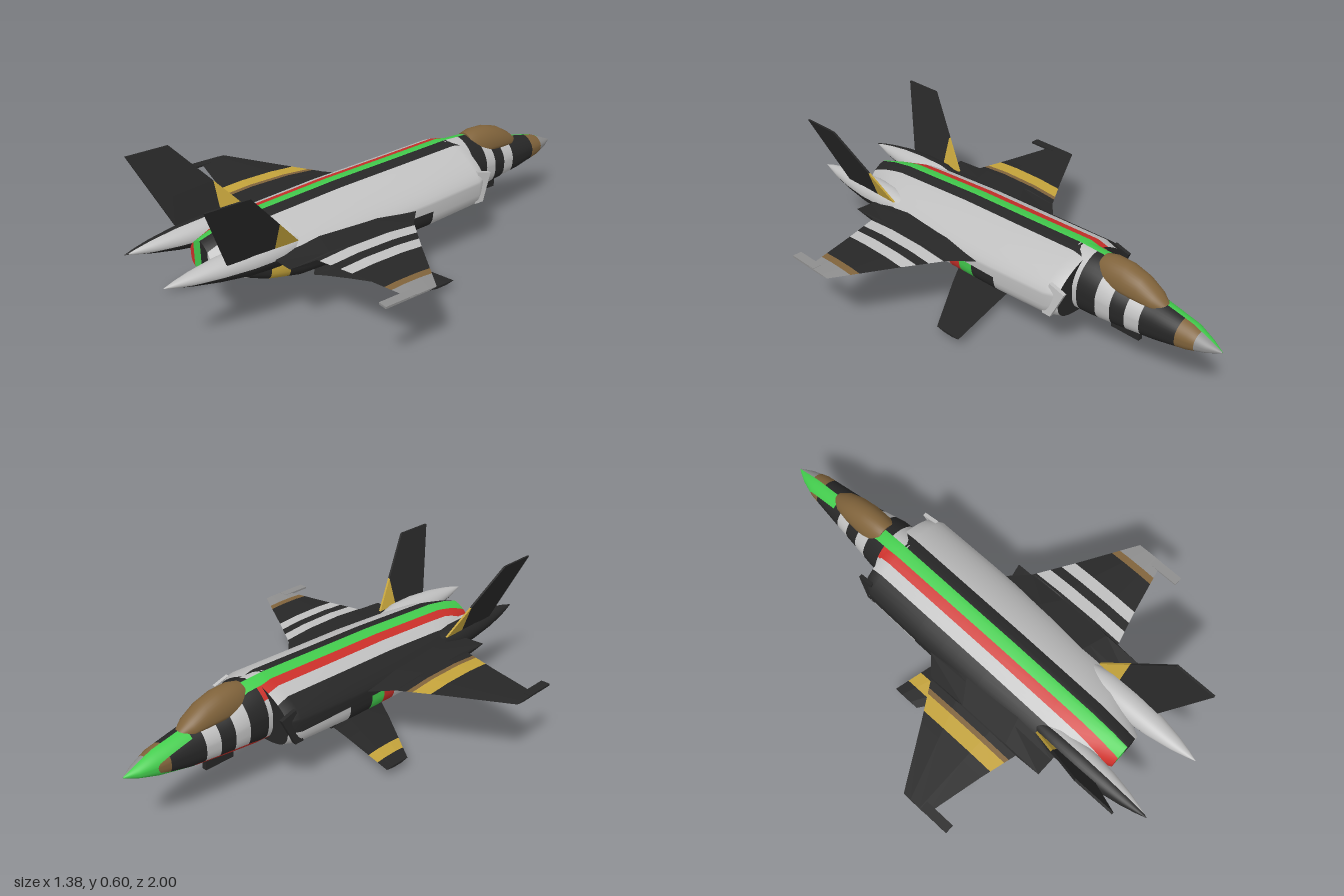
import * as THREE from 'three';
import { ConvexGeometry } from 'three/addons/geometries/ConvexGeometry.js';

const mat = (name, color) => Object.assign(new THREE.MeshStandardMaterial({ color }), { name });
const M = {
  dark: mat('charcoal', 0x272727), light: mat('light grey', 0xc0c0c0), grey: mat('mid grey', 0x8e8e8e),
  red: mat('red', 0xcb302a), green: mat('green', 0x43cc4d), yellow: mat('yellow', 0xc4a33b), brown: mat('bronze', 0x80633b),
};

// Skin over a list of closed rings, capped at both ends
function loft(rings, flat) {
  const pos = [], idx = [], n = rings[0].length, m = rings.length;
  rings.forEach(r => r.forEach(p => pos.push(...p)));
  for (let i = 0; i < m - 1; i++) for (let j = 0; j < n; j++) {
    const a = i * n + j, b = i * n + (j + 1) % n;
    idx.push(a, b, a + n, b, b + n, a + n);
  }
  for (const [ring, end] of [[rings[0], 0], [rings[m - 1], 1]]) {
    const base = pos.length / 3;
    ring.forEach(p => pos.push(...p));
    pos.push(...[0, 1, 2].map(k => ring.reduce((s, p) => s + p[k], 0) / n));
    for (let j = 0; j < n; j++) {
      const a = base + j, b = base + (j + 1) % n;
      idx.push(base + n, end ? a : b, end ? b : a);
    }
  }
  let g = new THREE.BufferGeometry();
  g.setAttribute('position', new THREE.Float32BufferAttribute(pos, 3));
  g.setIndex(idx);
  if (flat) g = g.toNonIndexed();
  g.computeVertexNormals();
  return g;
}

// Cut a geometry along axis planes and give each piece the colour chosen by its centre
function paint(name, geo, cuts, pick) {
  const g = geo.index ? geo.toNonIndexed() : geo, P = g.attributes.position, N = g.attributes.normal;
  let polys = [];
  for (let i = 0; i < P.count; i += 3) {
    polys.push([i, i + 1, i + 2].map(k => [P.getX(k), P.getY(k), P.getZ(k), N.getX(k), N.getY(k), N.getZ(k)]));
  }
  cuts.forEach((list, axis) => list.forEach(c => {
    const next = [];
    for (const poly of polys) {
      const lo = [], hi = [];
      poly.forEach((a, i) => {
        const b = poly[(i + 1) % poly.length], da = a[axis] - c, db = b[axis] - c;
        if (da <= 0) lo.push(a);
        if (da >= 0) hi.push(a);
        if (da * db < 0) {
          const mid = a.map((v, k) => v + (b[k] - v) * da / (da - db));
          lo.push(mid); hi.push(mid);
        }
      });
      if (lo.length > 2) next.push(lo);
      if (hi.length > 2) next.push(hi);
    }
    polys = next;
  }));
  const buckets = new Map();
  for (const poly of polys) {
    const key = pick(...[0, 1, 2].map(k => poly.reduce((s, v) => s + v[k], 0) / poly.length));
    if (!buckets.has(key)) buckets.set(key, []);
    for (let i = 1; i < poly.length - 1; i++) buckets.get(key).push(poly[0], poly[i], poly[i + 1]);
  }
  const out = new THREE.BufferGeometry(), verts = [...buckets.values()].flat();
  out.setAttribute('position', new THREE.Float32BufferAttribute(verts.flatMap(v => v.slice(0, 3)), 3));
  out.setAttribute('normal', new THREE.Float32BufferAttribute(verts.flatMap(v => v.slice(3)), 3));
  let start = 0, k = 0;
  for (const list of buckets.values()) { out.addGroup(start, list.length, k++); start += list.length; }
  const mesh = new THREE.Mesh(out, [...buckets.keys()].map(c => M[c]));
  mesh.name = name;
  return mesh;
}

// Hull rings from [z, halfWidth, bottom, top], with separate roundness above and below
function hull(stations, topPow, botPow, level = 0.5, x0 = 0) {
  const sgnPow = (v, p) => Math.sign(v) * Math.abs(v) ** p;
  return loft(stations.map(([z, w, yb, yt]) => {
    const mid = yb + (yt - yb) * level;
    return Array.from({ length: 40 }, (_, j) => {
      const a = j / 40 * Math.PI * 2, s = Math.sin(a), e = 2 / (s >= 0 ? topPow : botPow);
      return [x0 + w * sgnPow(Math.cos(a), e), mid + (s >= 0 ? yt - mid : mid - yb) * sgnPow(s, e), z];
    });
  }));
}

// Wing skin from [x, leading z, trailing z, bottom, top]
function wing(stations, side) {
  const rings = stations.map(([x, f, b, yb, yt]) => {
    const z = t => f + (b - f) * t, m = yb + (yt - yb) * 0.7;
    return [[1, m], [0.7, yb], [0.3, yb], [0, m], [0.3, yt], [0.7, yt]].map(([t, y]) => [side * x, y, z(t)]);
  });
  return loft(side < 0 ? rings.reverse() : rings, true);
}

// Thin slab following four [x, y, z] corners
function slab(corners, thick) {
  return new ConvexGeometry(corners.flatMap(([x, y, z]) => [-1, 1].map(s => new THREE.Vector3(x + s * thick / 2, y, z))));
}

// First band whose limit lies above the value
const band = (v, list, last) => (list.find(([limit]) => v < limit) || [0, last])[1];
const limits = list => list.map(b => b[0]);

const lengthStripes = [[-0.14, 'dark'], [-0.09, 'light'], [-0.05, 'red'], [0, 'green'], [0.05, 'dark']];
const sideBands = [[-0.12, 'light'], [0, 'dark'], [0.07, 'green'], [0.13, 'red'], [0.2, 'light'], [0.53, 'dark'], [0.6, 'yellow']];
const noseBands = [[-0.91, 'grey'], [-0.84, 'brown'], [-0.7, 'dark'], [-0.64, 'light'], [-0.58, 'dark'], [-0.52, 'light'], [-0.44, 'dark']];
const wingBands = [[0.31, 'dark'], [0.36, 'light'], [0.4, 'dark'], [0.45, 'light'], [0.585, 'dark'], [0.615, 'brown']];

export function createModel() {
  const model = new THREE.Group();
  model.name = 'aircraft';

  // Fuselage, with the dark intake face at its front
  model.add(paint('fuselage', hull([
    [-0.42, 0.19, 0.19, 0.42], [-0.37, 0.215, 0.185, 0.43], [-0.1, 0.22, 0.17, 0.42], [0.2, 0.22, 0.165, 0.41],
    [0.48, 0.21, 0.165, 0.392], [0.6, 0.18, 0.18, 0.385], [0.7, 0.115, 0.2, 0.368], [0.78, 0.075, 0.22, 0.345],
  ], 1.5, 4, 0.5), [[...limits(lengthStripes), -0.12, 0.12], [0.265], limits(sideBands)], (x, y, z) => {
    if (z < -0.419) return 'dark';
    if (Math.abs(x) > 0.12 && y < 0.265) return band(z, sideBands, 'dark');
    return band(x, lengthStripes, 'light');
  }));

  // Intake lips
  for (const s of [-1, 1]) {
    const lip = new THREE.Mesh(slab([[s * 0.185, 0.35, -0.38], [s * 0.185, 0.33, -0.45], [s * 0.2, 0.22, -0.4], [s * 0.2, 0.22, -0.36]], 0.015), s < 0 ? M.dark : M.light);
    lip.name = 'intakeLip';
    model.add(lip);
  }

  // Nose
  model.add(paint('nose', hull([
    [-1, 0.003, 0.268, 0.272], [-0.95, 0.03, 0.25, 0.295], [-0.88, 0.053, 0.232, 0.325], [-0.75, 0.07, 0.208, 0.352],
    [-0.6, 0.09, 0.195, 0.375], [-0.48, 0.11, 0.188, 0.425], [-0.36, 0.115, 0.186, 0.43],
  ], 1.8, 2.8), [[-0.09, -0.05, 0, 0.05], [0.225], [...limits(noseBands), -0.74]], (x, y, z) => {
    if (x > -0.05 && x < 0 && (z < -0.74 || z > -0.52 || y < 0.225)) return 'green';
    if (x > -0.09 && x < -0.05 && (z > -0.44 || (y < 0.225 && z > -0.74))) return 'red';
    return band(z, noseBands, 'light');
  }));

  // Canopy
  const canopy = new THREE.Mesh(hull([
    [-0.765, 0.02, 0.325, 0.348], [-0.72, 0.046, 0.32, 0.385], [-0.66, 0.058, 0.32, 0.42], [-0.59, 0.064, 0.32, 0.44],
    [-0.52, 0.063, 0.32, 0.443], [-0.48, 0.056, 0.32, 0.433],
  ], 2, 2, 0.35), M.brown);
  canopy.name = 'canopy';
  model.add(canopy);

  // Belly blade under the nose
  const blade = new THREE.Mesh(new THREE.BoxGeometry(0.02, 0.07, 0.13), M.dark);
  blade.name = 'bellyBlade';
  blade.position.set(0, 0.175, -0.595);
  model.add(blade);

  for (const s of [-1, 1]) {
    // Main wing with tip rail
    const wingColour = x => s < 0
      ? band(-x, [[0.33, 'dark'], [0.35, 'brown'], [0.41, 'yellow']], 'dark')
      : band(x, wingBands, 'grey');
    const wingCuts = [s < 0 ? [-0.33, -0.35, -0.41] : limits(wingBands), [], []];
    model.add(paint('mainWing', wing([
      [0.17, -0.08, 0.6, 0.24, 0.318], [0.22, -0.03, 0.6, 0.25, 0.315], [0.295, 0.045, 0.6, 0.272, 0.311],
      [0.3, 0.048, 0.49, 0.274, 0.311], [0.45, 0.14, 0.45, 0.287, 0.306], [0.69, 0.28, 0.395, 0.296, 0.302],
    ], s), wingCuts, wingColour));
    const rail = new THREE.Mesh(new THREE.BoxGeometry(0.037, 0.008, 0.13), s < 0 ? M.dark : M.grey);
    rail.name = 'wingTipRail';
    rail.position.set(s * 0.67, 0.299, 0.43);
    model.add(rail);

    // Canted tail fin
    model.add(paint('tailFin', slab([
      [s * 0.185, 0.33, 0.49], [s * 0.185, 0.33, 0.78], [s * 0.28, 0.602, 0.9], [s * 0.28, 0.602, 0.73],
    ], 0.009), [[], [0.43], [0.59]], (x, y, z) => (z < 0.59 ? 'yellow' : 'dark')));

    // Pointed tail boom
    model.add(paint('tailBoom', hull([
      [0.45, 0.03, 0.27, 0.33], [0.56, 0.058, 0.235, 0.352], [0.68, 0.06, 0.242, 0.352], [0.8, 0.048, 0.258, 0.342],
      [0.9, 0.03, 0.277, 0.326], [0.96, 0.014, 0.291, 0.313], [1, 0.001, 0.3, 0.302],
    ], 2, 2, 0.5, s * 0.145), [[-0.14], [0.29], []], (x, y) => (y < 0.29 || x < -0.14 ? 'dark' : 'light')));

    // Strut of the hanging wing
    const strut = new THREE.Mesh(slab([
      [s * 0.045, 0.18, 0.06], [s * 0.045, 0.18, 0.14], [s * 0.003, 0.03, 0.06], [s * 0.003, 0.03, -0.01],
    ], 0.008), M.dark);
    strut.name = 'strut';
    model.add(strut);

    // Forward-swept hanging wing
    model.add(paint('lowerWing', wing([
      [0, 0, 0.3, 0, 0.047], [0.04, -0.01, 0.27, 0.012, 0.047], [0.12, -0.03, 0.215, 0.026, 0.047], [0.38, -0.09, 0.03, 0.035, 0.044],
    ], s), [[-0.32, -0.26], [], []], x => (x < -0.26 && x > -0.32 ? 'yellow' : 'dark')));
  }
  return model;
}
